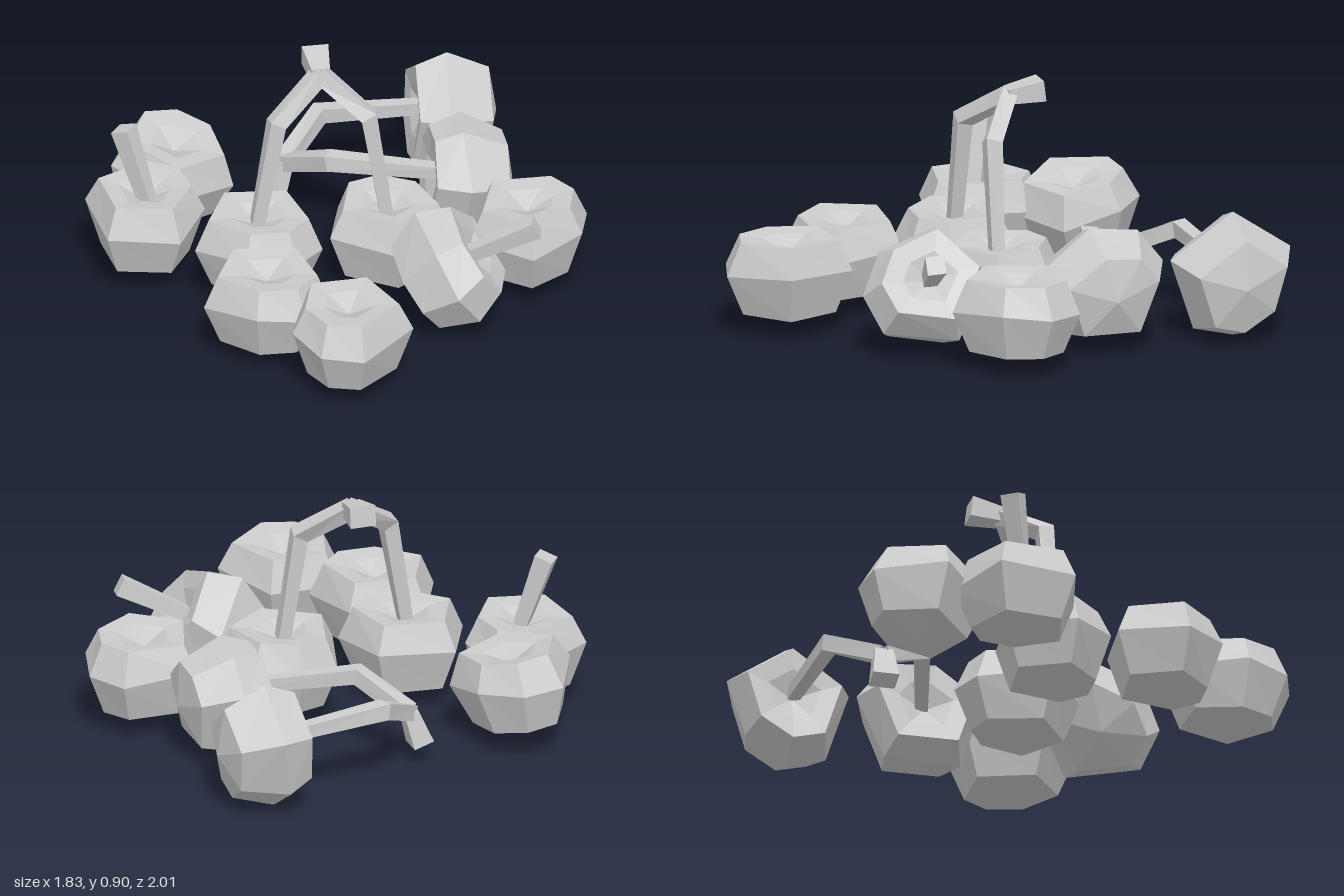
import * as THREE from 'three';

const material = new THREE.MeshStandardMaterial({ color: 0xcccccc, flatShading: true, side: THREE.DoubleSide });
const V = (x, y, z) => new THREE.Vector3(x, y, z);

// Joins closed rings of points (bottom to top) into one faceted surface
function loft(rings) {
  const n = rings[0].length, pos = [], index = [];
  rings.forEach(r => r.forEach(p => pos.push(p.x, p.y, p.z)));
  for (let i = 0; i < rings.length - 1; i++) {
    for (let j = 0; j < n; j++) {
      const a = i * n + j, b = i * n + (j + 1) % n;
      index.push(a, a + n, b + n, a, b + n, b);
    }
  }
  const g = new THREE.BufferGeometry();
  g.setAttribute('position', new THREE.Float32BufferAttribute(pos, 3));
  g.setIndex(index);
  const flat = g.toNonIndexed();
  flat.computeVertexNormals();
  return flat;
}

// Irregular six-sided fruit: [scale of outline, height] from base to stem dip
const outline = [[-0.13, -0.205], [0.165, -0.175], [0.227, 0.1], [0.113, 0.216], [-0.072, 0.21], [-0.245, 0.041]];
const profile = [[0, 0.02], [0.74, 0.062], [1, 0.225], [0.78, 0.34], [0.44, 0.33], [0, 0.285]];
const CENTRE = 0.2;
const fruitGeometry = loft(profile.map(([s, y]) =>
  outline.map(([x, z], j) => V(x * s, y - CENTRE + (s === 1 ? 0.015 * Math.sin(j * 2) : 0), z * s))));

// Square stem swept along points, with mitred bends
function stem(name, points, sizes, side) {
  const rings = points.map((p, i) => {
    const before = points[Math.max(i - 1, 0)], after = points[Math.min(i + 1, points.length - 1)];
    const d1 = p.clone().sub(before).normalize(), d2 = after.clone().sub(p).normalize();
    const t = d1.add(d2).normalize();
    const u = side.clone().addScaledVector(t, -side.dot(t)).normalize();
    const w = u.clone().cross(t);
    const h = sizes[i] / 2;
    return [[-1, -1], [1, -1], [1, 1], [-1, 1]].map(([a, b]) =>
      p.clone().addScaledVector(u, a * h).addScaledVector(w, b * h));
  });
  // Close both ends with a point
  const cap = p => Array.from({ length: 4 }, () => p.clone());
  rings.unshift(cap(points[0]));
  rings.push(cap(points[points.length - 1]));
  const mesh = new THREE.Mesh(loft(rings), material);
  mesh.name = name;
  return mesh;
}

// Two stems that meet in a short flared stub
function stemPair(name, left, right, joint, end, side, across) {
  const group = new THREE.Group();
  group.name = name;
  group.add(stem('leftStem', [...left, joint], [0.047, 0.063, 0.06], side));
  group.add(stem('rightStem', [...right, joint], [0.047, 0.063, 0.06], side));
  const dir = end.clone().sub(joint).normalize();
  const up = dir.clone().cross(across).normalize();
  const ring = (p, w, h) => [[-1, -1], [-1, 1], [1, 1], [1, -1]].map(([a, b]) =>
    p.clone().addScaledVector(across, a * w).addScaledVector(up, b * h));
  const start = joint.clone().addScaledVector(dir, -0.01);
  const stub = new THREE.Mesh(loft([ring(start, 0, 0), ring(start, 0.035, 0.028),
    ring(end, 0.05, 0.04), ring(end, 0, 0)]), material);
  stub.name = 'stemJoint';
  group.add(stub);
  return group;
}

export function createModel() {
  const model = new THREE.Group();
  model.name = 'fruitPile';

  // Fruits: x, y, z of the middle, turn in degrees, axis toward the stem
  const up = V(0, 1, 0);
  const fruits = [
    [-0.35, 0.2, 0.455, 0],
    [-0.09, 0.21, 0.76, 62],
    [-0.315, 0.2, 0.035, 0],
    [0.173, 0.2, 0.027, 208],
    [0.685, 0.21, 0.122, -77],
    [-0.555, 0.225, -0.52, 218, V(0.12, 1, 0.12)],
    [-0.705, 0.215, -0.185, -103],
    [0.35, 0.23, 0.37, 30, V(0.8, 0.57, 0.1)],
    [0.535, 0.235, -0.772, 121, V(-1, 0.08, 0)],
    [0.515, 0.235, -0.272, -96, V(-1, 0.12, 0)],
  ];
  fruits.forEach(([x, y, z, turn, axis = up], i) => {
    const fruit = new THREE.Mesh(fruitGeometry, material);
    fruit.name = `fruit${i + 1}`;
    fruit.position.set(x, y, z);
    fruit.quaternion.setFromUnitVectors(up, axis.clone().normalize());
    fruit.rotateY(-turn * Math.PI / 180);
    model.add(fruit);
  });

  // Upright pair of stems
  model.add(stemPair('uprightStems',
    [V(-0.325, 0.25, 0.035), V(-0.245, 0.705, 0.025)],
    [V(0.175, 0.25, 0.03), V(0.105, 0.705, 0.025)],
    V(-0.06, 0.835, -0.095), V(-0.06, 0.85, -0.22), V(0, 0, 1), V(1, 0, 0)));

  // Fallen pair of stems, its stub hanging down
  model.add(stemPair('fallenStems',
    [V(0.47, 0.26, -0.77), V(0.04, 0.29, -0.73)],
    [V(0.47, 0.26, -0.27), V(0.02, 0.29, -0.38)],
    V(-0.12, 0.19, -0.565), V(-0.16, 0.07, -0.57), V(0, 1, 0), V(0, 0, 1)));

  // Single stems
  model.add(stem('shortUprightStem', [V(-0.69, 0.27, -0.17), V(-0.78, 0.59, -0.23)], [0.05, 0.072], V(0.8, 0, 0.6)));
  model.add(stem('shortLeaningStem', [V(0.41, 0.28, 0.375), V(0.67, 0.415, 0.435)], [0.05, 0.07], V(0, 0, 1)));

  return model;
}
